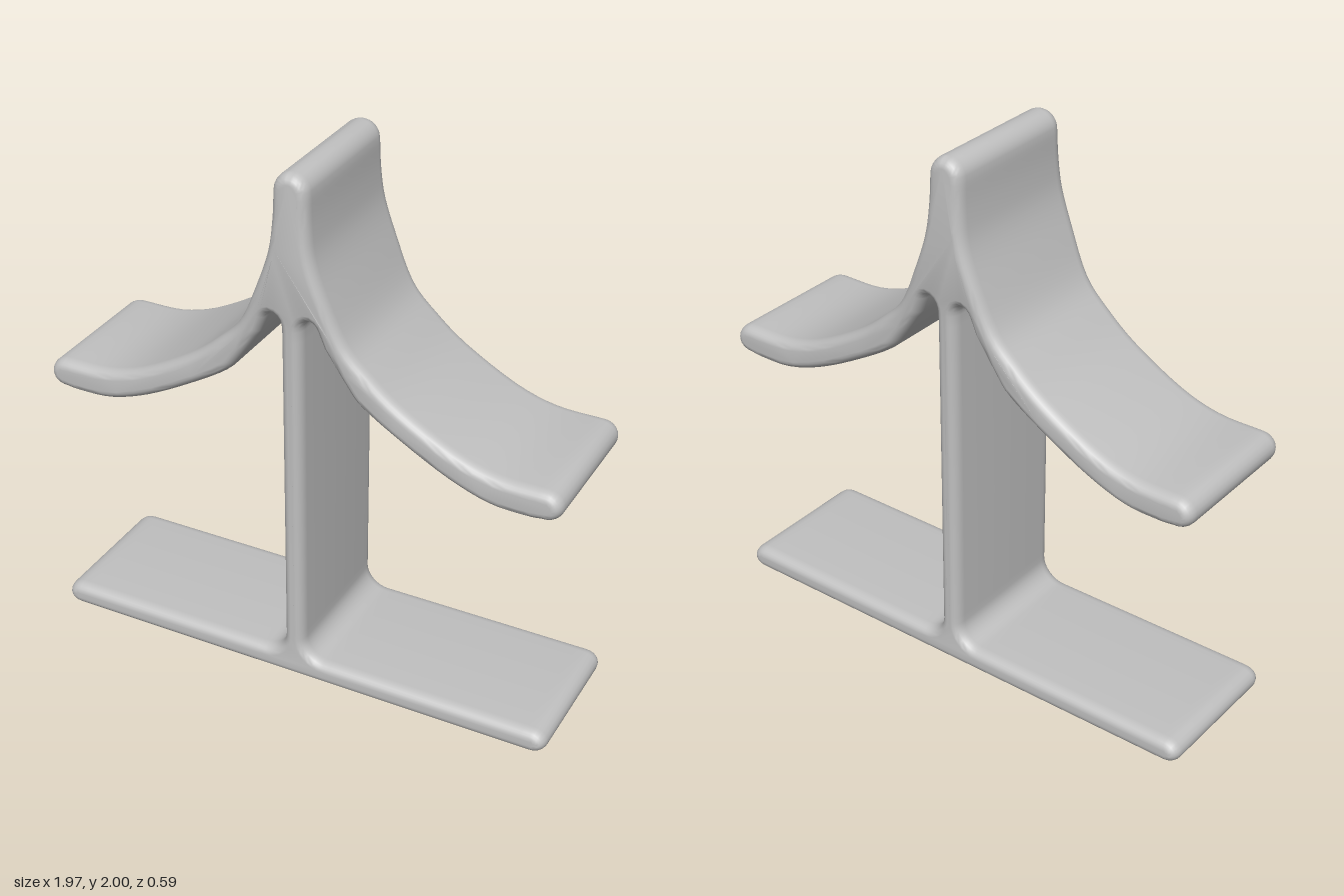
import * as THREE from 'three';
import { toCreasedNormals } from 'three/addons/utils/BufferGeometryUtils.js';

const vec = ([x, y]) => new THREE.Vector2(x, y);

// Smooth curve through a few points
const spline = (points, n) => new THREE.SplineCurve(points.map(vec)).getPoints(n);

// Elliptical arc, angles in quarter turns
function arc(cx, cy, rx, ry, from, to, n = 8) {
  const points = [];
  for (let i = 0; i <= n; i++) {
    const a = (from + (to - from) * i / n) * Math.PI / 2;
    points.push(new THREE.Vector2(cx + rx * Math.cos(a), cy + ry * Math.sin(a)));
  }
  return points;
}

// Right half of the section, from the bottom centre up to the ridge
function halfOutline() {
  return [
    // foot plate with rounded tip
    vec([0.9, 0]),
    ...arc(0.93, 0.045, 0.055, 0.045, -1, 1, 10),
    vec([0.9, 0.09]), vec([0.15, 0.09]),
    // fillet into the post
    ...arc(0.12, 0.17, 0.08, 0.08, 3, 2),
    vec([0.04, 0.2]), vec([0.04, 1.4]),
    // notch between post and roof
    ...arc(0.07, 1.44, 0.03, 0.045, 2, 0.3),
    // underside of the roof wing
    ...spline([[0.12, 1.4], [0.2, 1.28], [0.26, 1.21], [0.41, 1.115], [0.58, 1.025],
      [0.73, 0.973], [0.86, 0.965], [0.92, 0.97]], 28),
    // wing tip
    ...arc(0.925, 1.025, 0.06, 0.055, -0.9, 0.95, 10),
    // top of the wing, sweeping up to the ridge
    ...spline([[0.9, 1.08], [0.75, 1.085], [0.6, 1.13], [0.41, 1.235], [0.29, 1.33], [0.2, 1.425],
      [0.13, 1.58], [0.085, 1.71], [0.07, 1.82], [0.066, 1.92]], 36),
    ...arc(0, 1.935, 0.065, 0.065, 0.1, 0.9, 8),
  ];
}

export function createModel() {
  const group = new THREE.Group();
  group.name = 'roofedStand';

  const grey = new THREE.MeshStandardMaterial({ color: 0xc0c0c0 });
  grey.name = 'plain grey';

  // Mirror the half section into a closed outline
  const half = halfOutline();
  const mirrored = half.map((p) => new THREE.Vector2(-p.x, p.y)).reverse();
  const shape = new THREE.Shape([...half, vec([0, 2]), ...mirrored]);

  // Extrude with soft edges kept inside the outline
  const edge = 0.033, thick = 0.045, depth = 0.56;
  const geometry = new THREE.ExtrudeGeometry(shape, {
    depth: depth - 2 * thick, steps: 1, bevelEnabled: true,
    bevelSize: edge, bevelOffset: -edge, bevelThickness: thick, bevelSegments: 6,
  });
  geometry.translate(0, 0, -(depth - 2 * thick) / 2);

  // Slight swelling of the ends where the wings meet
  const pos = geometry.attributes.position;
  for (let i = 0; i < pos.count; i++) {
    const d = (pos.getY(i) - 1.65) / 0.2;
    pos.setZ(i, pos.getZ(i) * (1 + 0.045 * Math.exp(-d * d)));
  }

  // Foot, post and roof are one seamless body
  const body = new THREE.Mesh(toCreasedNormals(geometry, 0.8), grey);
  body.name = 'footPostAndRoof';
  group.add(body);
  return group;
}
